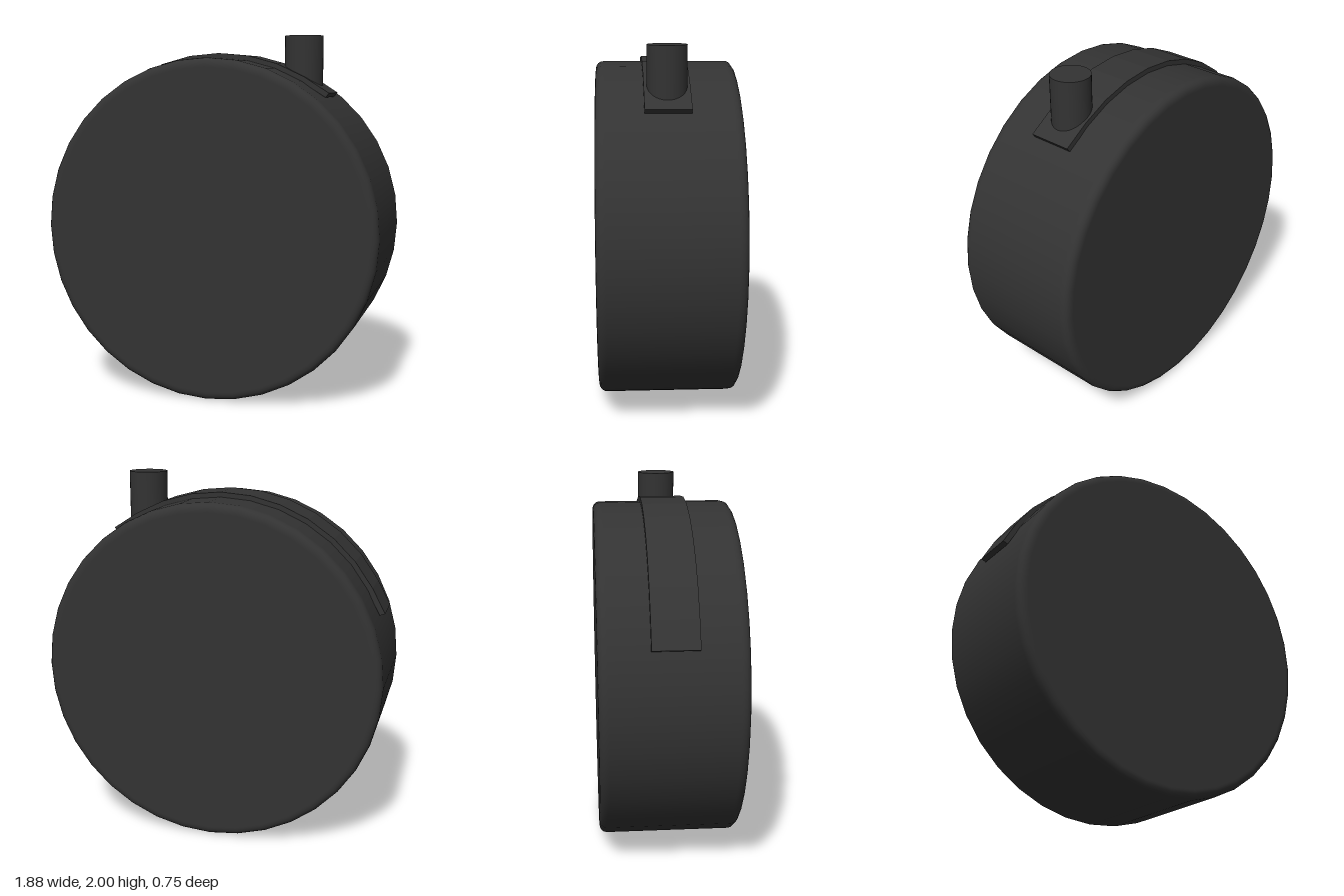
import * as THREE from 'three';

export function createModel() {
  const group = new THREE.Group();
  const dark = new THREE.MeshStandardMaterial({ color: 0x333333 });
  const R = 0.94, H = 0.375, B = 0.04;

  const add = (name, geometry) => {
    const mesh = new THREE.Mesh(geometry, dark);
    mesh.name = name;
    group.add(mesh);
    return mesh;
  };

  // Wheel: a drum with softly rounded rims, turned onto the z axis
  const half = [];
  for (let i = 0; i <= 4; i++) {
    const a = (i / 4) * Math.PI / 2;
    half.push([R - B + B * Math.cos(a), H - B + B * Math.sin(a)]);
  }
  half.unshift([R, H - B - 0.01]);
  half.push([R - B - 0.01, H], [0, H]);
  const profile = [
    ...half.map(([r, y]) => new THREE.Vector2(r, -y)).reverse(),
    ...half.map(([r, y]) => new THREE.Vector2(r, y)),
  ];
  const wheelGeometry = new THREE.LatheGeometry(profile, 36);
  wheelGeometry.rotateX(Math.PI / 2);
  add('wheel', wheelGeometry).position.y = R;

  // Fender strap: a thin arc hugging the top of the wheel
  const angles = [50.4];
  for (let a = 60; a <= 150; a += 10) angles.push(a);
  angles.push(159);
  const arcPoint = (deg, inner) => {
    const isEnd = deg < 60 || deg > 150;
    const r = (isEnd ? 0.974 : 0.967) - (inner ? 0.03 : 0);
    const a = THREE.MathUtils.degToRad(deg);
    return new THREE.Vector2(r * Math.cos(a), r * Math.sin(a));
  };
  const strapShape = new THREE.Shape([
    ...angles.map((a) => arcPoint(a, false)),
    ...angles.slice().reverse().map((a) => arcPoint(a, true)),
  ]);
  const strapGeometry = new THREE.ExtrudeGeometry(strapShape, { depth: 0.24, bevelEnabled: false });
  add('fenderStrap', strapGeometry).position.set(0, R, -0.115);

  // Mounting stem: upright pin rising from the strap
  const stemGeometry = new THREE.CylinderGeometry(0.105, 0.105, 0.32, 32);
  add('mountingStem', stemGeometry).position.set(0.455, 1.84, 0.005);

  return group;
}
